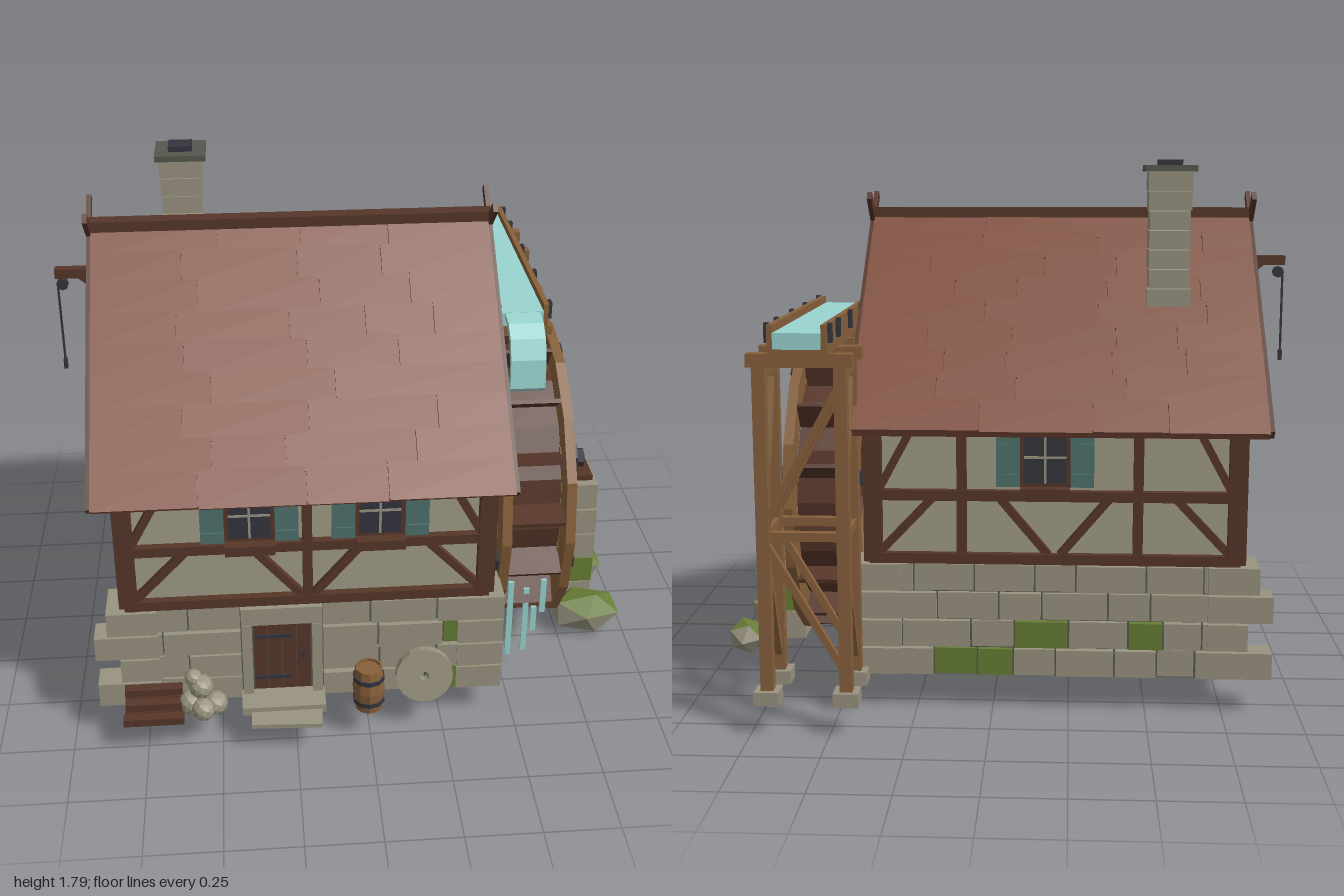
import * as THREE from 'three';

const mat = (name, color) => Object.assign(new THREE.MeshStandardMaterial({ color }), { name });
const M = {
  stone: mat('stone', 0x99937f), plaster: mat('plaster', 0xa29d87), moss: mat('moss', 0x667d35),
  dark: mat('darkTimber', 0x573629), wood: mat('paleTimber', 0x87603b), roof: mat('roofTile', 0x804d3b),
  iron: mat('iron', 0x34343e), water: mat('water', 0x9ad4d0), teal: mat('shutterPaint', 0x4f726d),
  slate: mat('darkStone', 0x55584d),
};
let seed = 7;
const rnd = (a = 0, b = 1) => { seed = (seed * 16807) % 2147483647; return a + (b - a) * seed / 2147483647; };

function group(parent, name, x = 0, y = 0, z = 0, ry = 0) {
  const g = new THREE.Group();
  g.name = name; g.position.set(x, y, z); g.rotation.y = ry; parent.add(g);
  return g;
}
function add(parent, name, geo, material, x = 0, y = 0, z = 0) {
  const m = new THREE.Mesh(geo, material);
  m.name = name; m.position.set(x, y, z); parent.add(m);
  return m;
}
const box = (p, name, m, w, h, d, x, y, z) => add(p, name, new THREE.BoxGeometry(w, h, d), m, x, y, z);
// Box given by its minimum and maximum corners
const span = (p, name, m, x0, x1, y0, y1, z0, z1) =>
  box(p, name, m, x1 - x0, y1 - y0, z1 - z0, (x0 + x1) / 2, (y0 + y1) / 2, (z0 + z1) / 2);
// Square bar between two points
function bar(p, name, m, a, b, w, d = w) {
  const A = new THREE.Vector3(...a), B = new THREE.Vector3(...b);
  const o = box(p, name, m, w, A.distanceTo(B), d, ...A.clone().add(B).multiplyScalar(0.5));
  o.quaternion.setFromUnitVectors(new THREE.Vector3(0, 1, 0), B.sub(A).normalize());
  return o;
}
function flat(geo) {
  const g = geo.index ? geo.toNonIndexed() : geo;
  g.computeVertexNormals();
  return g;
}
const cyl = (r0, r1, h, n) => flat(new THREE.CylinderGeometry(r0, r1, h, n));

// Four courses of stone on one wall; runs(row) lists the stretches to fill
function stoneWall(p, runs, mossy) {
  for (let r = 0; r < 4; r++) for (const [a, b] of runs(r)) {
    let u = a;
    while (u < b - 0.01) {
      let w = rnd(0.11, 0.23);
      if (b - u - w < 0.09) w = b - u;
      const m = mossy(u + w / 2, r) ? M.moss : M.stone;
      span(p, 'wallStone', m, u + 0.003, u + w - 0.003, 0.123 + r * 0.095, 0.211 + r * 0.095, -0.03, rnd(0.008, 0.028));
      u += w;
    }
  }
}

// Timber frame on one wall of half width h, with windows at the listed places
function timberWall(p, h, windows, posts) {
  const beam = (x0, y0, x1, y1, w = 0.032, d = 0.03) => bar(p, 'frameTimber', M.dark, [x0, y0, 0], [x1, y1, 0], w, d);
  for (const y of [0.515, 0.725, 1.012]) box(p, 'rail', M.dark, 2 * h, 0.034, 0.034, 0, y, 0);
  for (const x of posts) beam(x, 0.51, x, 1.02);
  for (const s of [-1, 1]) {
    beam(s * (h - 0.02), 0.5, s * (h - 0.02), 1.02, 0.042, 0.042);
    beam(s * (h - 0.03), 0.53, s * (h - 0.21), 0.72, 0.026, 0.026);
    beam(s * (h - 0.03), 0.74, s * (h - 0.17), 1.0, 0.026, 0.026);
    beam(s * 0.02, 0.53, s * 0.18, 0.72, 0.026, 0.026);
  }
  for (const x of windows) {
    const g = group(p, 'window', x, 0.845, 0);
    box(g, 'windowFrame', M.dark, 0.165, 0.18, 0.036, 0, 0, 0);
    box(g, 'pane', M.iron, 0.135, 0.15, 0.006, 0, 0, 0.019);
    box(g, 'verticalGlazingBar', M.stone, 0.008, 0.15, 0.006, 0, 0, 0.022);
    box(g, 'crossGlazingBar', M.stone, 0.135, 0.008, 0.006, 0, 0.01, 0.022);
    box(g, 'flowerBox', M.dark, 0.16, 0.035, 0.05, 0, -0.105, 0.03);
    for (const s of [-1, 1]) {
      box(g, 'shutter', M.teal, 0.076, 0.172, 0.016, s * 0.119, 0, 0.022);
      for (const y of [-0.05, 0.05]) box(g, 'shutterBatten', M.teal, 0.066, 0.014, 0.008, s * 0.119, y, 0.032);
    }
  }
}

function buildRoof(root) {
  const a = Math.atan2(0.645, 0.73), L = 0.974, rows = 9, step = L / rows;
  for (const side of [0, 1]) {
    const g = group(group(root, 'roofSide', -0.21, 1.615, 0.045, side * Math.PI), 'roofSlope');
    g.rotation.x = a;
    box(g, 'roofDeck', M.roof, 1.32, 0.035, L, 0, -0.03, L / 2);
    for (let r = 0; r < rows; r++) for (let x = -0.66; x < 0.65;) {
      let w = rnd(0.2, 0.42);
      if (0.66 - x - w < 0.15) w = 0.66 - x;
      const t = box(g, 'roofTile', M.roof, w - 0.003, 0.012, step + 0.015, x + w / 2, -0.007 + rnd(0, 0.004), (r + 0.5) * step + rnd(0, 0.008));
      t.rotation.x = 0.05;
      x += w;
    }
    for (const s of [-1, 1]) box(g, 'bargeBoard', M.dark, 0.016, 0.032, L + 0.115, s * 0.665, -0.025, (L - 0.115) / 2);
  }
  box(root, 'ridgeCap', M.dark, 1.34, 0.035, 0.055, -0.21, 1.612, 0.045);
  // Chimney
  const c = group(root, 'chimney', -0.573, 0, -0.23);
  for (let i = 0; i < 7; i++) {
    const w = 0.14 + rnd(-0.006, 0.008);
    box(c, 'chimneyCourse', M.stone, w, 0.061, w, 0, 1.34 + i * 0.064, 0);
  }
  box(c, 'chimneyCap', M.slate, 0.172, 0.02, 0.172, 0, 1.766, 0);
  box(c, 'flue', M.iron, 0.08, 0.02, 0.08, 0, 1.784, 0);
}

function buildWheel(root) {
  const g = group(root, 'waterWheel', 0.575, 0.65, 0.045, Math.PI / 2);
  const n = 16, phase = 12 * Math.PI / 180, poly = (r) => Array.from({ length: n }, (_, i) => {
    const t = phase + (i + 0.5) * 2 * Math.PI / n;
    return new THREE.Vector2(r * Math.cos(t), r * Math.sin(t));
  });
  const ring = (name, m, r0, r1, z, d) => {
    const s = new THREE.Shape(poly(r1));
    s.holes.push(new THREE.Path(poly(r0)));
    add(g, name, new THREE.ExtrudeGeometry(s, { depth: d, bevelEnabled: false }), m, 0, 0, z);
  };
  ring('outerRim', M.wood, 0.46, 0.548, 0.09, 0.033);
  ring('innerRim', M.wood, 0.46, 0.548, -0.123, 0.033);
  ring('wheelSole', M.dark, 0.435, 0.455, -0.09, 0.18);
  for (let i = 0; i < n; i++) {
    const arm = group(g, 'wheelArm');
    arm.rotation.z = phase + i * 2 * Math.PI / n;
    box(arm, 'bucketBoard', M.dark, 0.1, 0.014, 0.18, 0.49, 0.02, 0).rotation.z = 0.35;
    if (i % 2) continue;
    for (const s of [-1, 1]) {
      box(arm, 'spoke', M.wood, 0.4, 0.036, 0.026, 0.27, 0, s * 0.1);
      box(arm, 'spokeStrap', M.iron, 0.075, 0.044, 0.012, 0.485, 0, s * 0.127);
    }
  }
  for (const s of [-1, 1]) {
    add(g, 'hub', cyl(0.095, 0.095, 0.06, 8), M.iron, 0, 0, s * 0.115).rotation.x = Math.PI / 2;
    add(g, 'hubCollar', cyl(0.06, 0.06, 0.05, 8), M.iron, 0, 0, s * 0.14).rotation.x = Math.PI / 2;
  }
  add(g, 'axle', cyl(0.035, 0.035, 0.44, 8), M.iron, 0, 0, 0.05).rotation.x = Math.PI / 2;
  // Bearing pillar
  const p = group(root, 'bearingPillar', 0.803, 0, 0.043);
  for (let i = 0; i < 5; i++) {
    const y = 0.112 + i * 0.106, w = 0.172 + rnd(-0.006, 0.006);
    box(p, 'pillarCourse', i === 1 ? M.moss : M.stone, w, 0.102, w + 0.027, 0, y, 0);
  }
  box(p, 'mossPatch', M.moss, 0.09, 0.07, 0.008, -0.04, 0.27, 0.102);
  box(p, 'bearingPlate', M.dark, 0.16, 0.02, 0.13, -0.01, 0.598, 0);
  box(p, 'bearingBlock', M.iron, 0.07, 0.06, 0.1, -0.02, 0.638, 0);
}

function buildFlume(root) {
  const g = group(root, 'flume', 0.572, 0, 0);
  for (const s of [-1, 1]) span(g, 'flumeSide', M.wood, s * 0.082 - 0.009, s * 0.082 + 0.009, 1.216, 1.306, -0.84, 0.12);
  span(g, 'flumeFloor', M.wood, -0.08, 0.08, 1.216, 1.232, -0.84, 0.12);
  span(g, 'flumeWater', M.water, -0.073, 0.073, 1.232, 1.282, -0.845, 0.125);
  for (const z of [0.1, -0.17, -0.41, -0.655, -0.81]) {
    for (const s of [-1, 1]) box(g, 'flumeStrap', M.iron, 0.012, 0.06, 0.028, s * 0.097, 1.28, z);
    box(g, 'flumeCleat', M.wood, 0.22, 0.03, 0.024, 0, 1.203, z);
  }
  // Falling sheet of water
  const top = [[0.12, 1.282], [0.19, 1.27], [0.24, 1.235], [0.272, 1.17], [0.283, 1.07]];
  const s = new THREE.Shape([...top, ...top.map(([z, y]) => [z - 0.018, y - 0.018]).reverse()].map(([z, y]) => new THREE.Vector2(-z, y)));
  const fall = add(g, 'fallingWater', new THREE.ExtrudeGeometry(s, { depth: 0.12, bevelEnabled: false }), M.water, -0.06);
  fall.rotation.y = Math.PI / 2;
  // Drips from the lower buckets
  for (const [x, y0, y1, z] of [[-0.055, 0.1, 0.41, 0.47], [0.005, 0.1, 0.365, 0.45], [0.03, 0.2, 0.3, 0.47], [0.052, 0.3, 0.435, 0.5]])
    span(g, 'waterDrip', M.water, x - 0.01, x + 0.01, y0, y1, z - 0.005, z + 0.005);
  // Trestle
  const zs = [-0.605, -0.8];
  for (const x of [-0.125, 0.125]) {
    for (const z of zs) {
      bar(g, 'trestlePost', M.wood, [x, 0.13, z], [x, 1.175, z], 0.04);
      box(g, 'footStone', M.stone, 0.08, 0.045, 0.075, x, 0.125, z);
    }
    for (const y of [0.645, 1.15]) bar(g, 'trestleRail', M.wood, [x, y, zs[0]], [x, y, zs[1]], 0.028);
    bar(g, 'trestleBrace', M.wood, [x, 1.14, zs[0]], [x, 0.66, zs[1]], 0.022);
    bar(g, 'trestleBrace', M.wood, [x, 0.63, zs[1]], [x, 0.18, zs[0]], 0.022);
  }
  for (const z of zs) {
    box(g, 'trestleCap', M.wood, 0.325, 0.042, 0.045, 0, 1.195, z);
    box(g, 'crossRail', M.wood, 0.25, 0.028, 0.028, 0, 0.645, z);
    bar(g, 'crossBrace', M.wood, [-0.125, 0.2, z], [0.125, 0.63, z], 0.022);
    bar(g, 'crossBrace', M.wood, [0.125, 0.67, z], [-0.125, 1.13, z], 0.022);
  }
  // Bracket from the house wall
  box(g, 'wallBracket', M.wood, 0.33, 0.045, 0.045, -0.005, 1.155, -0.32);
  bar(g, 'wallBracketBrace', M.wood, [-0.17, 0.85, -0.32], [-0.08, 1.14, -0.32], 0.028);
}

// Faceted boulder with moss on the faces that look up
function boulder(p, x, y, z, rx, ry, rz) {
  const geo = new THREE.IcosahedronGeometry(1, 0);
  geo.rotateX(0.35).rotateZ(rnd(0.1, 0.5)).scale(rx, ry, rz);
  flat(geo);
  for (let i = 0; i < 60; i += 3) geo.addGroup(i, 3, geo.attributes.normal.getY(i) > 0.45 ? 1 : 0);
  add(p, 'boulder', geo, [M.stone, M.moss], x, y, z);
}

function buildYard(root) {
  boulder(root, 0.855, 0.088, 0.215, 0.14, 0.088, 0.088);
  boulder(root, 0.922, 0.085, -0.1, 0.07, 0.065, 0.072);
  // Barrel
  const b = group(root, 'barrel', -0.005, 0.12, 0.735);
  const prof = [[0, 0], [0.046, 0], [0.056, 0.08], [0.046, 0.165], [0.04, 0.165], [0.04, 0.155], [0, 0.155]];
  add(b, 'barrelStaves', flat(new THREE.LatheGeometry(prof.map((q) => new THREE.Vector2(...q)), 10)), M.wood);
  for (const y of [0.035, 0.125]) add(b, 'barrelHoop', cyl(0.054, 0.054, 0.016, 10), M.iron, 0, y, 0);
  // Millstone leaning on the wall
  const hole = new THREE.Path().absarc(0, 0, 0.016, 0, Math.PI * 2, true);
  const disc = new THREE.Shape().absarc(0, 0, 0.097, 0, Math.PI * 2);
  disc.holes.push(hole);
  add(root, 'millstone', new THREE.ExtrudeGeometry(disc, { depth: 0.03, bevelEnabled: false, curveSegments: 9 }), M.stone, 0.185, 0.217, 0.695).rotation.x = -0.18;
  // Sacks and planks
  for (const [x, y, z, r] of [[-0.6, 0.16, 0.72, 0.044], [-0.52, 0.16, 0.73, 0.042], [-0.56, 0.16, 0.76, 0.04], [-0.565, 0.225, 0.72, 0.042], [-0.59, 0.255, 0.71, 0.03]])
    add(root, 'sack', flat(new THREE.IcosahedronGeometry(r, 1)), M.stone, x, y, z);
  for (let r = 0; r < 3; r++) for (let k = 0; k < 3 - r; k++)
    box(root, 'stackedPlank', M.dark, 0.19 + rnd(-0.02, 0.02), 0.027, 0.034, -0.725, 0.136 + r * 0.031, 0.695 + k * 0.038);
}

export function createModel() {
  const root = new THREE.Group();
  root.name = 'waterMill';
  // Plinth core, plaster walls and gables
  span(root, 'plinthCore', M.slate, -0.8, 0.4, 0.12, 0.495, -0.555, 0.645);
  span(root, 'plasterWalls', M.plaster, -0.79, 0.39, 0.495, 1.03, -0.545, 0.635);
  const tri = new THREE.Shape([[-0.6, 1.03], [0.6, 1.03], [0, 1.57]].map((q) => new THREE.Vector2(...q)));
  add(root, 'gableBoards', new THREE.ExtrudeGeometry(tri, { depth: 1.18, bevelEnabled: false }), M.wood, -0.79, 0, 0.045).rotation.y = Math.PI / 2;
  const H = Math.PI / 2, full = (h) => () => [[-h, h]];
  const doorGap = () => [[-0.61, -0.225], [0.045, 0.61]];
  const some = (u, r) => r < 2 && rnd() < 0.16;
  const sides = [
    ['front', -0.2, 0.645, 0, doorGap, (u, r) => r % 2 === 0 && u > 0.4 && u < 0.57, [-0.185, 0.235], [0]],
    ['right', 0.4, 0.045, H, full(0.61), (u, r) => (r === 0 && (Math.abs(u + 0.38) < 0.16 || Math.abs(u - 0.1) < 0.09)) || (r === 1 && Math.abs(u + 0.25) < 0.1), [0], [-0.34, 0.34]],
    ['back', -0.2, -0.555, 2 * H, full(0.61), some, [-0.03], [-0.3, 0.27]],
    ['left', -0.8, 0.045, -H, full(0.61), some, [0], [-0.34, 0.34]],
  ];
  for (const [name, x, z, ry, runs, mossy, windows, posts] of sides) {
    const g = group(root, name + 'Wall', x, 0, z, ry);
    stoneWall(g, runs, mossy);
    timberWall(g, 0.6, windows, posts);
  }
  // Corner stones
  for (const [cx, sx] of [[-0.8, -1], [0.4, 1]]) for (const [cz, sz] of [[-0.555, -1], [0.645, 1]]) for (let r = 0; r < 4; r++) {
    const out = sx > 0 ? 0.055 : [0.11, 0.03, 0.11, 0.065][r];
    const long = r % 2 ? 0.11 : 0.05;
    box(root, 'cornerStone', M.stone, out + 0.1, 0.088, long + 0.04, cx + sx * (out - 0.1) / 2, 0.167 + r * 0.095, cz + sz * (0.028 - (long + 0.04) / 2));
  }
  // Door with stone surround and steps
  const d = group(root, 'doorway', -0.29, 0, 0.645);
  box(d, 'lintel', M.stone, 0.27, 0.066, 0.06, 0, 0.465, 0.005);
  for (const s of [-1, 1]) box(d, 'jamb', M.stone, 0.034, 0.31, 0.06, s * 0.117, 0.275, 0.005);
  for (let i = 0; i < 4; i++) box(d, 'doorBoard', M.dark, 0.046, 0.285, 0.02, -0.072 + i * 0.048, 0.288, 0);
  for (const y of [0.2, 0.37]) box(d, 'doorHinge', M.iron, 0.12, 0.012, 0.006, -0.03, y, 0.013);
  box(d, 'doorHandle', M.iron, 0.012, 0.03, 0.01, 0.07, 0.29, 0.014);
  box(d, 'upperStep', M.stone, 0.28, 0.03, 0.1, 0, 0.133, 0.06);
  box(d, 'lowerStep', M.stone, 0.235, 0.016, 0.1, 0.008, 0.123, 0.13).rotation.y = -0.05;
  // Attic hatch and hoist on the left gable
  box(root, 'atticHatch', M.dark, 0.02, 0.22, 0.17, -0.795, 1.2, 0.045);
  span(root, 'hoistBeam', M.dark, -1, -0.78, 1.43, 1.462, 0.026, 0.06);
  bar(root, 'hoistBrace', M.dark, [-0.92, 1.44, 0.043], [-0.8, 1.34, 0.043], 0.024);
  add(root, 'pulley', cyl(0.02, 0.02, 0.02, 8), M.iron, -0.978, 1.405, 0.043).rotation.x = H;
  bar(root, 'hoistRope', M.iron, [-0.994, 1.41, 0.043], [-0.994, 1.11, 0.043], 0.007);
  box(root, 'hoistHook', M.iron, 0.012, 0.035, 0.02, -0.994, 1.11, 0.043);
  buildRoof(root);
  buildWheel(root);
  buildFlume(root);
  buildYard(root);
  return root;
}
